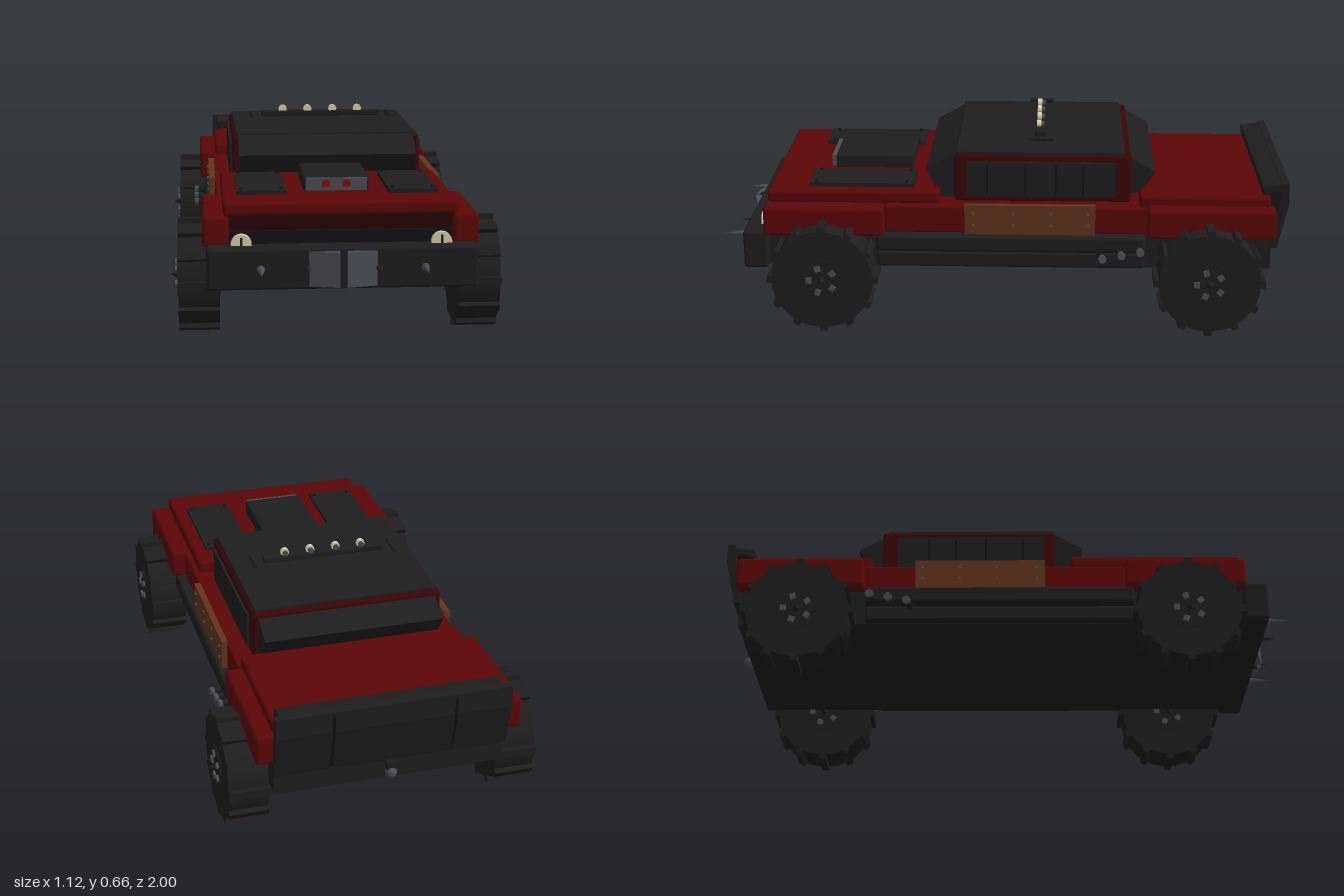
import * as THREE from 'three';
import { RoundedBoxGeometry } from 'three/addons/geometries/RoundedBoxGeometry.js';

const mat = (name, color) => {
  const m = new THREE.MeshStandardMaterial({ color });
  m.name = name;
  return m;
};

export function createModel() {
  const car = new THREE.Group();
  car.name = 'armouredCar';
  const red = mat('red paint', 0x5c0606), darkRed = mat('dark red paint', 0x3a0506);
  const dark = mat('dark armour', 0x1e1e1e), black = mat('black', 0x111213);
  const steel = mat('steel', 0x4b4e56), rust = mat('rust', 0x62341c);
  const cream = mat('lamp cream', 0xddd2ae), bright = mat('intake red', 0x820e10);

  const add = (name, geo, material, parent = car) => {
    const m = new THREE.Mesh(geo, material);
    m.name = name;
    parent.add(m);
    return m;
  };
  // Box given by its limits on each axis, with optional rounded edges
  const box = (name, material, [x0, x1], [y0, y1], [z0, z1], r = 0) => {
    const s = [x1 - x0, y1 - y0, z1 - z0];
    const m = add(name, r ? new RoundedBoxGeometry(...s, 2, r) : new THREE.BoxGeometry(...s), material);
    m.position.set((x0 + x1) / 2, (y0 + y1) / 2, (z0 + z1) / 2);
    return m;
  };
  const span = (s, a, b) => (s > 0 ? [a, b] : [-b, -a]);
  // Side profile of [z, y] points drawn out across the width
  const across = (name, material, points, w) => {
    const shape = new THREE.Shape(points.map(([z, y]) => new THREE.Vector2(z, y)));
    const g = new THREE.ExtrudeGeometry(shape, { depth: w, bevelEnabled: false });
    g.rotateY(-Math.PI / 2).translate(w / 2, 0, 0);
    return add(name, g, material);
  };
  // Round part lying along z
  const rodZ = (name, material, r, length, x, y, z) => {
    const g = new THREE.CylinderGeometry(r, r, length, 18).rotateX(Math.PI / 2);
    add(name, g, material).position.set(x, y, z);
  };

  // Chassis and main body
  box('chassis', dark, [-0.39, 0.39], [0.2, 0.33], [-0.94, 0.83]);
  box('body', red, [-0.4, 0.4], [0.325, 0.422], [-0.93, 0.41], 0.008);
  across('nose', darkRed, [[0.4, 0.34], [0.785, 0.34], [0.785, 0.37], [0.815, 0.43], [0.4, 0.43]], 0.74);
  box('grille', black, [-0.37, 0.37], [0.325, 0.372], [0.75, 0.8]);
  box('hood', red, [-0.383, 0.383], [0.425, 0.47], [0.22, 0.822], 0.012);
  box('rearDeck', red, [-0.39, 0.39], [0.415, 0.462], [-0.935, -0.48], 0.01);

  // Fenders, sills, rusty door plates and exhausts
  for (const s of [1, -1]) {
    box('frontFender', red, span(s, 0.365, 0.45), [0.325, 0.426], [0.41, 0.83], 0.012);
    box('rearFender', red, span(s, 0.37, 0.45), [0.325, 0.43], [-0.95, -0.505], 0.012);
    box('sill', dark, span(s, 0.36, 0.435), [0.265, 0.325], [-0.5, 0.44], 0.012);
    box('lowerSill', dark, span(s, 0.36, 0.415), [0.202, 0.26], [-0.5, 0.44], 0.012);
    box('doorPlate', rust, span(s, 0.398, 0.42), [0.328, 0.434], [-0.325, 0.13]);
    for (const z of [-0.3, -0.17, -0.04, 0.1]) for (const y of [0.362, 0.405]) {
      const rivet = add('rivet', new THREE.CylinderGeometry(0.005, 0.005, 0.006, 8), steel);
      rivet.rotation.z = Math.PI / 2;
      rivet.position.set(s * 0.422, y, z);
    }
    for (let i = 0; i < 3; i++) {
      const pipe = new THREE.Group();
      pipe.name = 'exhaust';
      pipe.position.set(s * 0.435, 0.257 + i * 0.013, -0.345 - i * 0.065);
      pipe.rotation.set(0, s * 0.2, -s * Math.PI / 2);
      car.add(pipe);
      add('exhaustPipe', new THREE.CylinderGeometry(0.012, 0.012, 0.06, 12), dark, pipe);
      add('exhaustTip', new THREE.CylinderGeometry(0.014, 0.014, 0.014, 12), steel, pipe).position.y = 0.03;
    }
  }

  // Cabin with roof and armoured screens
  box('cabin', darkRed, [-0.336, 0.336], [0.42, 0.592], [-0.45, 0.17], 0.012);
  box('roof', dark, [-0.326, 0.326], [0.578, 0.604], [-0.428, 0.165], 0.008);
  across('frontScreen', dark, [[0.16, 0.43], [0.22, 0.43], [0.267, 0.535], [0.165, 0.594]], 0.63);
  across('rearScreen', dark, [[-0.44, 0.45], [-0.47, 0.45], [-0.51, 0.488], [-0.535, 0.53], [-0.44, 0.582]], 0.63);
  for (const s of [1, -1]) {
    box('sideWindow', dark, span(s, 0.33, 0.345), [0.442, 0.567], [-0.395, 0.125]);
    for (const z of [0.053, -0.08, -0.187, -0.283]) {
      box('windowGap', black, span(s, 0.335, 0.347), [0.45, 0.56], [z - 0.003, z + 0.003]);
    }
  }

  // Hood plates and scoop
  const intake = new THREE.Shape([[-0.102, 0.472], [0.102, 0.472], [0.102, 0.513], [-0.102, 0.513]]
    .map(([x, y]) => new THREE.Vector2(x, y)));
  for (const s of [1, -1]) {
    box('hoodPlate', dark, span(s, 0.17, 0.335), [0.465, 0.484], [0.31, 0.68]);
    for (const x of [0.185, 0.32]) for (const z of [0.335, 0.655]) {
      add('hoodBolt', new THREE.CylinderGeometry(0.006, 0.006, 0.006, 8), black).position.set(s * x, 0.486, z);
    }
    rodZ('intakeDisc', bright, 0.015, 0.008, s * 0.034, 0.494, 0.612);
    intake.holes.push(new THREE.Path().absarc(s * 0.034, 0.494, 0.015, 0, Math.PI * 2, true));
  }
  box('hoodScoop', dark, [-0.11, 0.11], [0.465, 0.518], [0.33, 0.612], 0.008);
  add('scoopGrille', new THREE.ExtrudeGeometry(intake, { depth: 0.018, bevelEnabled: false }), steel).position.z = 0.609;

  // Front bumper with ram wedge, spikes and headlamps
  box('frontBumper', dark, [-0.438, 0.438], [0.2, 0.335], [0.82, 0.905], 0.01);
  for (const s of [1, -1]) {
    const plan = new THREE.Shape([[0.012, 0.89], [0.11, 0.89], [0.11, 0.907], [0.012, 0.932]]
      .map(([x, z]) => new THREE.Vector2(s * x, -z)));
    const g = new THREE.ExtrudeGeometry(plan, { depth: 0.115, bevelEnabled: false });
    add('ramWedge', g.rotateX(-Math.PI / 2).translate(0, 0.21, 0), steel);
    for (const [x, tip, r] of [[0.265, 1.0, 0.015], [0.116, 0.97, 0.013]]) {
      const spike = add('bumperSpike', new THREE.ConeGeometry(r, tip - 0.895, 10), x > 0.2 ? steel : dark);
      spike.rotation.x = Math.PI / 2;
      spike.position.set(s * x, 0.268, (tip + 0.895) / 2);
    }
    rodZ('headlamp', cream, 0.034, 0.02, s * 0.325, 0.338, 0.842);
    box('lampGuard', dark, span(s, 0.321, 0.329), [0.33, 0.362], [0.85, 0.858]);
  }
  box('ramSpine', dark, [-0.012, 0.012], [0.205, 0.33], [0.89, 0.915]);

  // Leaning tailgate armour, top rail and tow ball
  const tail = [[-0.938, 0.28], [-0.96, 0.28], [-0.995, 0.44], [-0.995, 0.513], [-0.968, 0.513], [-0.962, 0.44]];
  across('tailPlate', dark, tail, 0.79);
  for (const x of [-0.205, 0.205]) {
    across('tailRib', black, [[-0.95, 0.29], [-0.964, 0.29], [-0.998, 0.44], [-0.998, 0.505], [-0.98, 0.505]], 0.008).position.x = x;
  }
  box('tailRail', dark, [-0.38, 0.38], [0.472, 0.508], [-0.972, -0.902], 0.008).rotation.x = 0.12;
  box('towBar', dark, [-0.015, 0.015], [0.24, 0.27], [-0.965, -0.9]);
  add('towBall', new THREE.SphereGeometry(0.02, 16, 12), steel).position.set(0, 0.23, -0.958);

  // Roof light bar
  box('lightBar', dark, [-0.22, 0.22], [0.624, 0.643], [-0.15, -0.112], 0.004);
  for (const x of [-0.14, -0.047, 0.047, 0.14]) {
    rodZ('roofLamp', cream, 0.015, 0.016, x, 0.65, -0.126);
    rodZ('lampBack', steel, 0.01, 0.012, x, 0.65, -0.139);
  }
  for (const s of [1, -1]) rodZ('roofRod', dark, 0.007, 0.09, s * 0.255, 0.628, -0.13);

  // Wheels, with the same hub on the outer and inner face
  for (const s of [1, -1]) for (const z of [0.62, -0.72]) {
    const wheel = new THREE.Group();
    wheel.name = 'wheel';
    wheel.position.set(s * 0.4625, 0.193, z);
    car.add(wheel);
    add('tyre', new THREE.CylinderGeometry(0.176, 0.176, 0.135, 32).rotateZ(Math.PI / 2), dark, wheel);
    for (let i = 0; i < 12; i++) {
      const g = new THREE.BoxGeometry(0.135, 0.03, 0.026).translate(0, 0.177, 0);
      add('treadLug', g.rotateX(i * Math.PI / 6), dark, wheel);
    }
    for (const side of [0, Math.PI]) {
      const hub = new THREE.Group();
      hub.name = 'hub';
      hub.rotation.y = side;
      wheel.add(hub);
      add('hubPlate', new THREE.CylinderGeometry(0.075, 0.075, 0.006, 24).rotateZ(Math.PI / 2), dark, hub).position.x = 0.068;
      for (let i = 0; i < 5; i++) {
        const g = new THREE.BoxGeometry(0.018, 0.02, 0.02).translate(0.07, 0.045, 0);
        add('wheelBolt', g.rotateX(i * Math.PI * 0.4 + 0.3), steel, hub);
      }
      add('hubSpike', new THREE.ConeGeometry(0.016, 0.03, 12).rotateZ(-Math.PI / 2), dark, hub).position.x = 0.08;
    }
  }
  return car;
}
